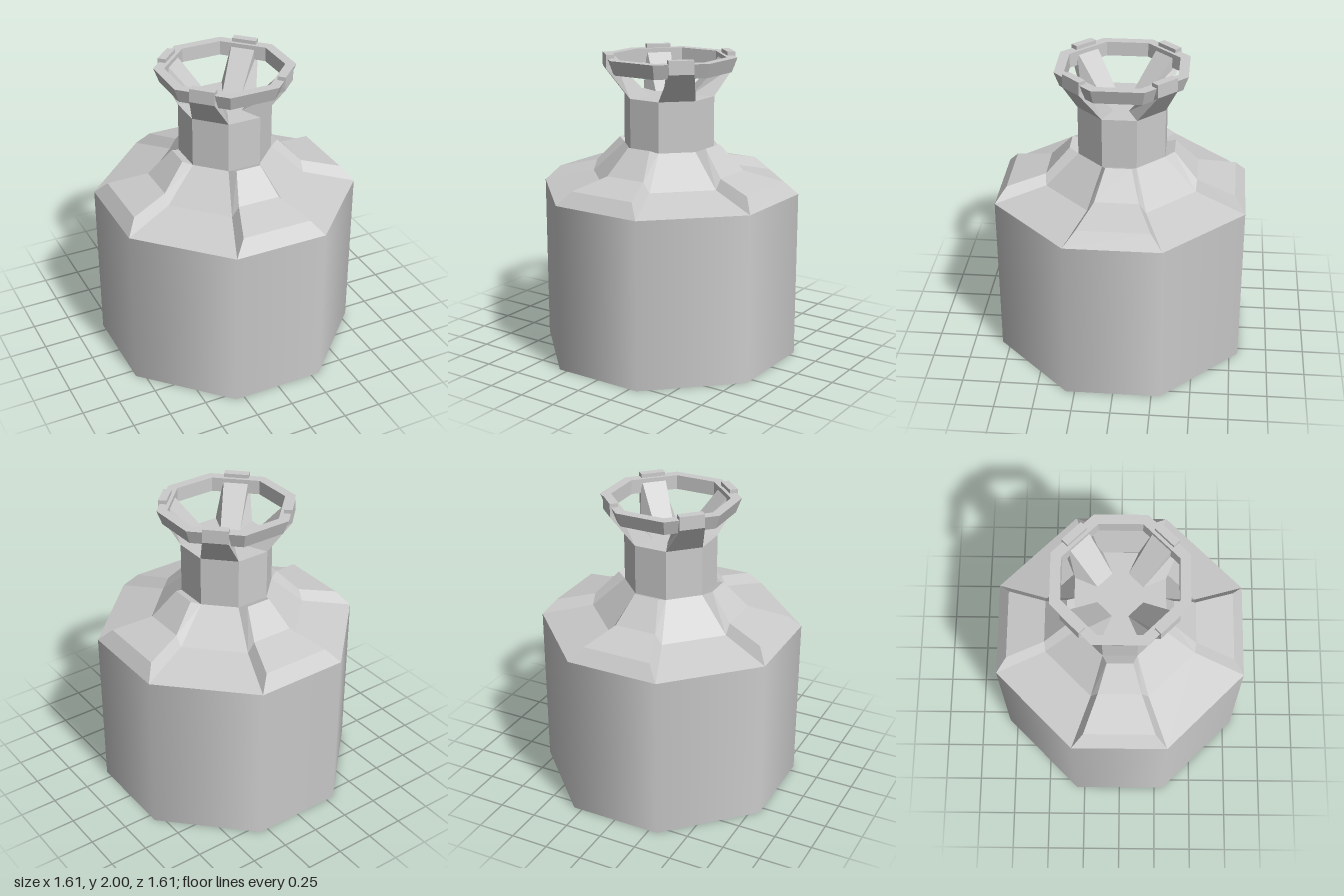
import * as THREE from 'three';

const smoothMat = new THREE.MeshStandardMaterial({ color: 0xcccccc });
const flatMat = new THREE.MeshStandardMaterial({ color: 0xcccccc, flatShading: true });

// Faceted skin through equal-length closed sections, with optional end caps
function loft(sections, capStart = false, capEnd = false) {
  const pos = [];
  const tri = (a, b, c) => pos.push(...a, ...b, ...c);
  const n = sections[0].length;
  for (let s = 0; s < sections.length - 1; s++) {
    const a = sections[s], b = sections[s + 1];
    for (let i = 0; i < n; i++) {
      const j = (i + 1) % n;
      tri(a[i], a[j], b[j]);
      tri(a[i], b[j], b[i]);
    }
  }
  const first = sections[0], last = sections[sections.length - 1];
  for (let i = 1; i < n - 1; i++) {
    if (capStart) tri(first[0], first[i + 1], first[i]);
    if (capEnd) tri(last[0], last[i], last[i + 1]);
  }
  const geo = new THREE.BufferGeometry();
  geo.setAttribute('position', new THREE.Float32BufferAttribute(pos, 3));
  geo.computeVertexNormals();
  return geo;
}

// Octagon with sides at distance r and half side length h
const oct = (r, h, y) => [
  [-h, y, r], [h, y, r], [r, y, h], [r, y, -h],
  [h, y, -r], [-h, y, -r], [-r, y, -h], [-r, y, h],
];

export function createModel() {
  const model = new THREE.Group();
  const add = (name, geo, mat = flatMat, turn = 0) => {
    const mesh = new THREE.Mesh(geo, mat);
    mesh.name = name;
    mesh.rotation.y = turn;
    model.add(mesh);
  };

  // Tank body: smooth-shaded eight-sided drum, corners shifted to the octagon
  const body = new THREE.CylinderGeometry(1, 1, 1.1, 8, 1, false, Math.PI / 8);
  body.translate(0, 0.55, 0);
  const p = body.attributes.position;
  for (let i = 0; i < p.count; i++) {
    const x = p.getX(i), z = p.getZ(i);
    if (Math.hypot(x, z) < 0.5) continue;
    const wide = Math.abs(x) > Math.abs(z);
    p.setX(i, Math.sign(x) * (wide ? 0.807 : 0.307));
    p.setZ(i, Math.sign(z) * (wide ? 0.307 : 0.807));
  }
  add('body', body, smoothMat);

  // Sloping shoulder and neck
  add('shoulder', loft([oct(0.807, 0.307, 1.1), oct(0.485, 0.185, 1.185), oct(0.28, 0.11, 1.39)]));
  add('neck', loft([oct(0.28, 0.11, 1.39), oct(0.28, 0.11, 1.72)], false, true));

  // Four raised shoulder ribs; each row is base [x, y, z] then crest [x, y, z]
  const ribSections = [
    [0.307, 1.1, 0.807, 0.23, 1.19, 0.738],
    [0.185, 1.185, 0.485, 0.14, 1.25, 0.49],
    [0.11, 1.39, 0.28, 0.083, 1.415, 0.34],
  ].map(([bx, by, bz, cx, cy, cz]) => [[-bx, by, bz], [-cx, cy, cz], [cx, cy, cz], [bx, by, bz]]);

  // Four handle struts; each row is outer [halfWidth, y, radius] then inner
  const strutSections = [
    [0.12, 1.72, 0.276, 0.064, 1.72, 0.134],
    [0.081, 1.912, 0.421, 0.081, 1.97, 0.368],
    [0.081, 2.0, 0.421, 0.081, 2.0, 0.368],
  ].map(([ow, oy, or, iw, iy, ir]) => [[-ow, oy, or], [ow, oy, or], [iw, iy, ir], [-iw, iy, ir]]);

  for (let k = 0; k < 4; k++) {
    const turn = k * Math.PI / 2;
    add('shoulderRib', loft(ribSections, true, true), flatMat, turn);
    add('handleStrut', loft(strutSections, true, true), flatMat, turn + Math.PI / 4);
  }

  // Flared octagonal handle ring
  const ringBottom = oct(0.385, 0.15, 1.88);
  add('handleRing', loft([
    ringBottom, oct(0.418, 0.164, 1.975), oct(0.355, 0.135, 1.975), oct(0.355, 0.135, 1.88), ringBottom,
  ]));

  return model;
}
